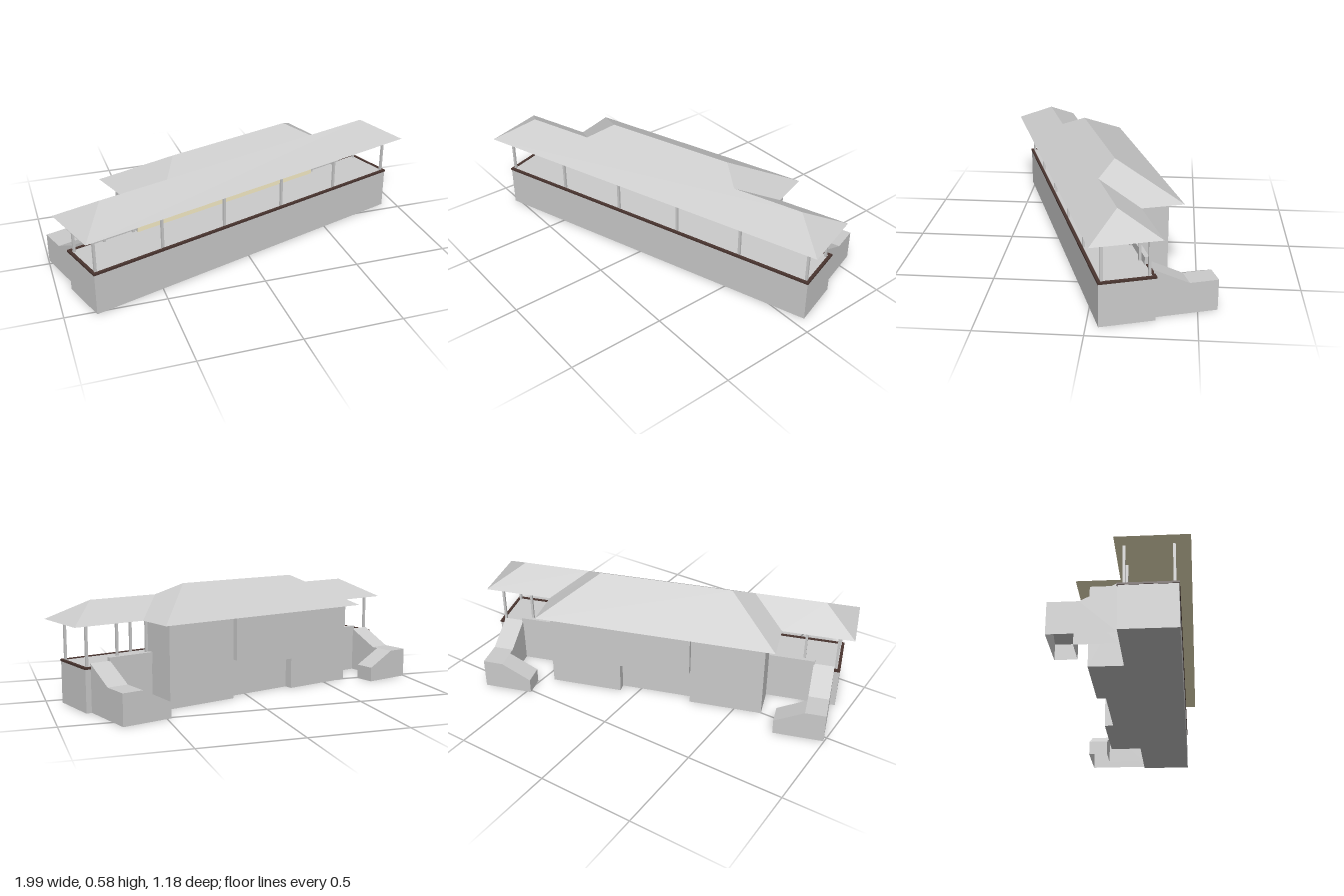
import * as THREE from 'three';

const grey = new THREE.MeshStandardMaterial({ color: 0xcccccc });
const greyThin = new THREE.MeshStandardMaterial({ color: 0xcccccc, side: THREE.DoubleSide });
const tan = new THREE.MeshStandardMaterial({ color: 0xfaf0c8 });
const brown = new THREE.MeshStandardMaterial({ color: 0x4a3530 });

// Box given by its limits on each axis
function box(parent, name, [x0, x1], [y0, y1], [z0, z1], material = grey) {
  const mesh = new THREE.Mesh(new THREE.BoxGeometry(x1 - x0, y1 - y0, z1 - z0), material);
  mesh.position.set((x0 + x1) / 2, (y0 + y1) / 2, (z0 + z1) / 2);
  mesh.name = name;
  parent.add(mesh);
}

// Flat faces, each a fan of corners around its first corner
function faces(parent, name, list, material) {
  const pos = [];
  for (const f of list)
    for (let i = 1; i < f.length - 1; i++) pos.push(...f[0], ...f[i], ...f[i + 1]);
  const geo = new THREE.BufferGeometry();
  geo.setAttribute('position', new THREE.Float32BufferAttribute(pos, 3));
  geo.computeVertexNormals();
  const mesh = new THREE.Mesh(geo, material);
  mesh.name = name;
  parent.add(mesh);
}

// Mirror a face across x, keeping it outward
const mirror = (f) => f.map(([x, y, z]) => [-x, y, z]).reverse();

// Range on the +x or -x side
const side = (s, a, b) => (s > 0 ? [a, b] : [-b, -a]);

function addRoof(g) {
  const eave = 0.42, front = 0.288, back = -0.048, rear = -0.26;
  const E = [0.987, eave, front], B = [0.987, eave, back];
  const R = [0.82, 0.52, 0.12], V = [0.453, 0.52, 0.12], T = [0.35, 0.58, 0.014];
  const N = [0.623, eave, back], K = [0.623, eave, rear];
  const m = ([x, y, z]) => [-x, y, z];
  const sides = [
    [E, B, R],       // end hip
    [B, N, V, R],    // back slope of the canopy
    [N, K, T, V],    // hip of the main roof
  ];
  faces(g, 'roof', [
    [m(E), E, R, m(R)],
    [m(V), V, T, m(T)],
    [K, m(K), m(T), T],
    ...sides, ...sides.map(mirror),
  ], greyThin);
  faces(g, 'soffit', [
    [m(E), m(B), B, E],
    [m(N), m(K), K, N],
  ], tan);
}

// Hollow L-shaped ramp: down from the platform, then turning to the building
function addRamp(g, s) {
  const o = 0.903, i = 0.798, e = 0.648;
  const z0 = -0.03, z1 = -0.2, zl = -0.235, z2 = -0.34;
  const top = 0.24, mid = 0.155, low = 0.077;
  const list = [
    [[o, top, z0], [o, mid, z1], [i, mid, z1], [i, top, z0]],
    [[o, mid, z1], [o, mid, z2], [i, mid, z2], [i, mid, z1]],
    [[i, mid, zl], [i, mid, z2], [e, low, z2], [e, low, zl]],
    [[o, mid, z1], [o, top, z0], [o, 0, z0], [o, 0, z2], [o, mid, z2]].reverse().map((p, k, a) => a[(k + 4) % 5]),
    [[i, mid, z1], [i, top, z0], [i, 0, z0], [i, 0, zl], [i, mid, zl]],
    [[i, mid, z2], [o, mid, z2], [o, 0, z2], [e, 0, z2], [e, low, z2]],
    [[i, mid, zl], [e, low, zl], [e, 0, zl], [i, 0, zl]],
    [[e, low, zl], [e, low, z2], [e, 0, z2], [e, 0, zl]],
  ];
  faces(g, s > 0 ? 'leftRamp' : 'rightRamp', s > 0 ? list : list.map((f) => f.map(([x, y, z]) => [-x, y, z])), greyThin);
}

export function createModel() {
  const model = new THREE.Group();
  model.name = 'platformBuilding';
  const g = new THREE.Group();
  g.name = 'building';
  g.rotation.y = 0.3154;
  g.position.set(-0.033, 0, 0.011);
  model.add(g);

  // Platform with a dark edge strip
  const P = 0.931, pf = 0.232, pb = -0.033;
  box(g, 'platform', [-P, P], [0, 0.218], [pb, pf]);
  box(g, 'frontEdge', [-P - 0.003, P + 0.003], [0.212, 0.222], [pf - 0.012, pf + 0.003], brown);
  box(g, 'backEdge', [-P - 0.003, P + 0.003], [0.212, 0.222], [pb - 0.003, pb + 0.012], brown);
  for (const s of [1, -1])
    box(g, 'endEdge', side(s, P - 0.012, P + 0.003), [0.212, 0.222], [pb, pf], brown);

  // Enclosed rooms: two wings, with a bay over a recess between them
  const W = 0.5675, bay = 0.19, wallBack = -0.2;
  for (const s of [1, -1])
    box(g, 'wing', side(s, bay, W), [0, 0.42], [wallBack, 0.008]);
  box(g, 'recessWall', [-bay, bay], [0, 0.16], [wallBack + 0.045, 0.008]);
  box(g, 'middleWall', [-bay, bay], [0.16, 0.42], [wallBack, 0.008]);
  box(g, 'rearBay', [-bay, bay], [0.2, 0.42], [wallBack - 0.03, wallBack]);
  box(g, 'frontWall', [-W, W], [0.218, 0.42], [0.006, 0.012], tan);

  // Canopy posts: a front row, and back rows beside the rooms
  const post = (x, z) => box(g, 'post', [x - 0.006, x + 0.006], [0.218, 0.425], [z - 0.006, z + 0.006]);
  for (let k = 0; k < 6; k++) post(-0.915 + 0.366 * k, 0.214);
  for (const s of [1, -1]) {
    for (const x of [0.5835, 0.747, 0.91]) post(s * x, -0.007);
    box(g, 'parapet', side(s, W, 0.803), [0.2, 0.257], [-0.037, -0.015]);
    addRamp(g, s);
  }

  addRoof(g);
  return model;
}
